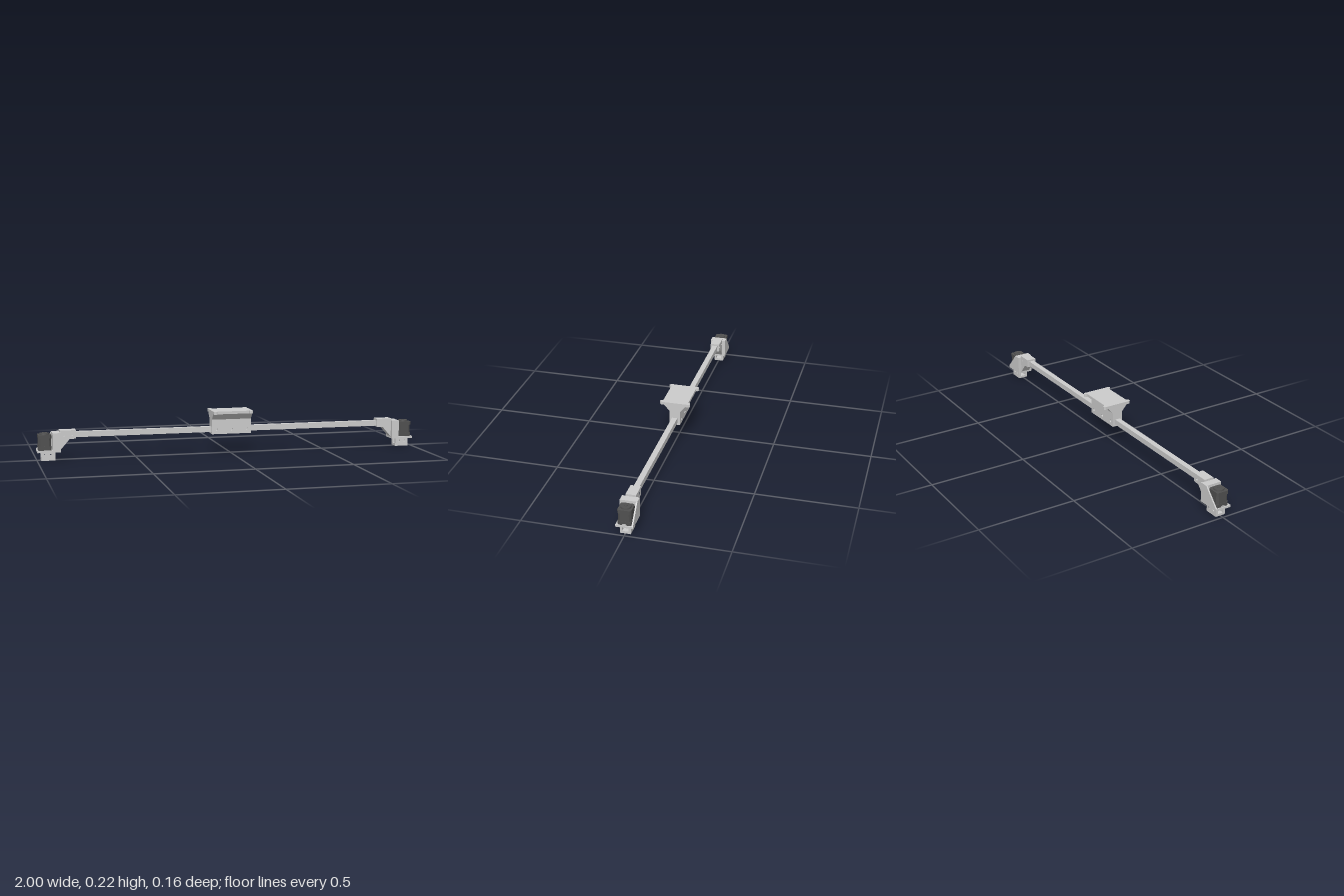
import * as THREE from 'three';

const grey = new THREE.MeshStandardMaterial({ color: 0xcccccc, flatShading: true });
const dark = new THREE.MeshStandardMaterial({ color: 0x505050, flatShading: true });
const pale = new THREE.MeshStandardMaterial({ color: 0xbbbbbb, flatShading: true });

function add(parent, name, geometry, material = grey) {
  const mesh = new THREE.Mesh(geometry, material);
  mesh.name = name;
  parent.add(mesh);
  return mesh;
}

// Box given by its limits on each axis, in any order
function box(parent, name, x0, x1, y0, y1, z0, z1, material) {
  const geo = new THREE.BoxGeometry(Math.abs(x1 - x0), Math.abs(y1 - y0), Math.abs(z1 - z0));
  geo.translate((x0 + x1) / 2, (y0 + y1) / 2, (z0 + z1) / 2);
  return add(parent, name, geo, material);
}

// Flat outline with round holes [x, y, radius], extruded from z0 to z1
function slab(points, z0, z1, holes = []) {
  const shape = new THREE.Shape(points.map(([x, y]) => new THREE.Vector2(x, y)));
  for (const [x, y, r] of holes) {
    shape.holes.push(new THREE.Path().absarc(x, y, r, 0, Math.PI * 2, true));
  }
  const geo = new THREE.ExtrudeGeometry(shape, { depth: z1 - z0, bevelEnabled: false, curveSegments: 8 });
  return geo.translate(0, 0, z0);
}

// Square outline with cut corners, extruded upwards
function cutSquare(half, cut, x, y0, y1) {
  const a = half, b = half - cut;
  const pts = [[a, -b], [a, b], [b, a], [-b, a], [-a, b], [-a, -b], [-b, -a], [b, -a]];
  return slab(pts, 0, y1 - y0).rotateX(-Math.PI / 2).translate(x, y0, 0);
}

// Clamp around the middle of the rail, with a flared neck and a plate on top
function buildCarriage() {
  const g = new THREE.Group();
  g.name = 'carriage';
  const L = 0.104;
  const outer = [[-L, 0.102], [L, 0.102], [L, 0.178], [-L, 0.178]];
  const holes = [-0.08, 0, 0.08].map((x) => [x, 0.126, 0.007]);
  add(g, 'clampFront', slab(outer, 0.014, 0.028, holes));
  add(g, 'clampBack', slab(outer, -0.028, -0.014, holes));
  box(g, 'clampBottom', -L, L, 0.102, 0.112, -0.014, 0.014);
  box(g, 'clampCore', -L, L, 0.14, 0.178, -0.014, 0.014);

  const neck = slab([[-0.028, 0.178], [0.028, 0.178], [0.056, 0.21], [-0.056, 0.21]], -L, L);
  add(g, 'flaredNeck', neck.rotateY(Math.PI / 2));

  box(g, 'topPlate', -L, L, 0.21, 0.224, -0.066, 0.066);
  // Rounded ears at the four corners
  for (const sx of [-1, 1]) for (const sz of [-1, 1]) {
    const x = sx * 0.094;
    box(g, 'earTab', x - 0.01, x + 0.01, 0.2095, 0.2245, sz * 0.055, sz * 0.069);
    const tip = new THREE.CylinderGeometry(0.01, 0.01, 0.015, 16);
    add(g, 'earTip', tip.translate(x, 0.217, sz * 0.069));
  }
  return g;
}

// Motor bracket at one end of the rail; s = 1 or -1 picks the end
function buildEnd(s) {
  const g = new THREE.Group();
  g.name = s > 0 ? 'leftEnd' : 'rightEnd';
  const flip = (pts) => pts.map(([x, ...rest]) => [s * x, ...rest]);

  // Sleeve holding the rail, with a sloping brace underneath
  const side = flip([[0.804, 0.15], [0.885, 0.15], [0.885, 0.05], [0.837, 0.105], [0.804, 0.107]]);
  const sideHoles = flip([[0.865, 0.126, 0.006], [0.825, 0.126, 0.006]]);
  add(g, 'sleeveFront', slab(side, 0.014, 0.025, sideHoles));
  add(g, 'sleeveBack', slab(side, -0.025, -0.014, sideHoles));
  box(g, 'sleeveTop', s * 0.804, s * 0.885, 0.14, 0.15, -0.014, 0.014);
  const under = flip([[0.804, 0.112], [0.885, 0.112], [0.885, 0.05], [0.837, 0.105], [0.804, 0.107]]);
  add(g, 'brace', slab(under, -0.014, 0.014));

  // Upright, floor and rear gusset around the motor
  box(g, 'upright', s * 0.883, s * 0.922, 0.043, 0.14, -0.042, 0.042);
  box(g, 'motorFloor', s * 0.922, s * 1, 0.043, 0.053, -0.042, 0.042);
  const gusset = flip([[0.922, 0.053], [1, 0.053], [0.922, 0.138]]);
  add(g, 'gusset', slab(gusset, -0.042, -0.035));

  // Open channel below the floor
  const wall = flip([[0.91, 0], [0.98, 0], [0.98, 0.043], [0.91, 0.043]]);
  const wallHoles = flip([[0.93, 0.028, 0.006], [0.961, 0.028, 0.006]]);
  add(g, 'channelFront', slab(wall, 0.015, 0.026, wallHoles));
  add(g, 'channelBack', slab(wall, -0.026, -0.015, wallHoles));
  box(g, 'channelBottom', s * 0.91, s * 0.98, 0, 0.012, -0.015, 0.015);

  // Motor: two end caps, a slimmer core, a raised boss and a plug
  const motor = new THREE.Group();
  motor.name = 'motor';
  g.add(motor);
  const x = s * 0.961;
  add(motor, 'lowerCap', cutSquare(0.033, 0.006, x, 0.053, 0.073), dark);
  add(motor, 'motorCore', cutSquare(0.032, 0.01, x, 0.073, 0.113), dark);
  add(motor, 'upperCap', cutSquare(0.033, 0.006, x, 0.113, 0.131), dark);
  add(motor, 'boss', new THREE.CylinderGeometry(0.024, 0.025, 0.007, 24).translate(x, 0.1345, 0), dark);
  add(motor, 'shaft', new THREE.CylinderGeometry(0.006, 0.006, 0.003, 16).translate(x, 0.1385, 0), dark);
  box(motor, 'plug', s * 0.99, s * 0.997, 0.054, 0.06, -0.009, 0.009, pale);
  return g;
}

export function createModel() {
  const model = new THREE.Group();
  model.name = 'motorRail';
  box(model, 'rail', -0.884, 0.884, 0.112, 0.14, -0.014, 0.014);
  model.add(buildCarriage(), buildEnd(1), buildEnd(-1));
  return model;
}
